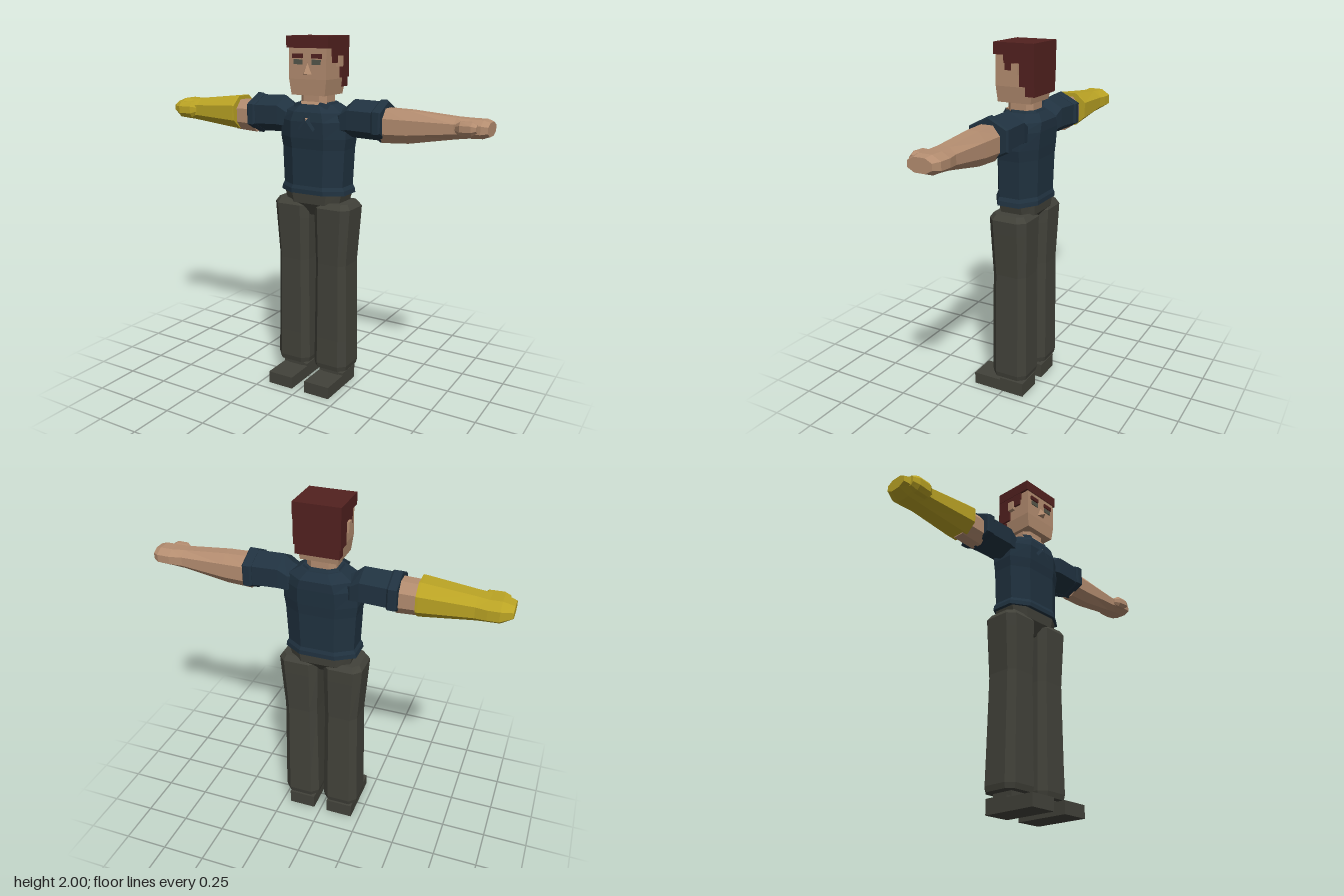
import * as THREE from 'three';
import { ConvexGeometry } from 'three/addons/geometries/ConvexGeometry.js';

const mat = (name, color) => new THREE.MeshStandardMaterial({ name, color, flatShading: true });

// Unit cross-sections, counter-clockwise
const octagon = c => [[1, -c], [1, c], [c, 1], [-c, 1], [-1, c], [-1, -c], [-c, -1], [c, -1]];
const hexagon = [[1, 0], [0.5, 1], [-0.5, 1], [-1, 0], [-0.5, -1], [0.5, -1]];

// Skin over sections [position, uMin, uMax, vMin, vMax];
// axis 'y' uses u = z, v = x and axis 'x' uses u = y, v = z
function loft(sections, shape, axis) {
  const rings = sections.map(([p, u0, u1, v0, v1]) => shape.map(([a, b]) => {
    const u = (u0 + u1) / 2 + a * (u1 - u0) / 2, v = (v0 + v1) / 2 + b * (v1 - v0) / 2;
    return axis === 'y' ? [v, p, u] : [p, u, v];
  }));
  const flip = sections[0][0] > sections[sections.length - 1][0];
  const n = shape.length, out = [];
  const tri = (a, b, c) => out.push(...a, ...(flip ? c : b), ...(flip ? b : c));
  for (let i = 0; i < rings.length - 1; i++) {
    for (let j = 0; j < n; j++) {
      const k = (j + 1) % n;
      tri(rings[i][j], rings[i][k], rings[i + 1][k]);
      tri(rings[i][j], rings[i + 1][k], rings[i + 1][j]);
    }
  }
  const first = rings[0], last = rings[rings.length - 1];
  for (let j = 1; j < n - 1; j++) {
    tri(first[0], first[j + 1], first[j]);
    tri(last[0], last[j], last[j + 1]);
  }
  const g = new THREE.BufferGeometry();
  g.setAttribute('position', new THREE.Float32BufferAttribute(out, 3));
  g.computeVertexNormals();
  return g;
}

// Box from its limits
function box(x0, x1, y0, y1, z0, z1) {
  return new THREE.BoxGeometry(Math.abs(x1 - x0), y1 - y0, z1 - z0)
    .translate((x0 + x1) / 2, (y0 + y1) / 2, (z0 + z1) / 2);
}

const hull = pts => new ConvexGeometry(pts.map(p => new THREE.Vector3(...p)));

export function createModel() {
  const model = new THREE.Group();
  model.name = 'standingMan';
  const skin = mat('skin', 0xb48d70), hair = mat('hair', 0x52211f), shirt = mat('shirt', 0x203240);
  const trousers = mat('trousers', 0x42423a), glove = mat('glove', 0xbaa324), eye = mat('eye', 0x55564a);
  const add = (name, geometry, material) => {
    const mesh = new THREE.Mesh(geometry, material);
    mesh.name = name;
    model.add(mesh);
  };
  // Section symmetric in x: [y, half width, back, front]
  const sym = rows => rows.map(([y, w, b, f]) => [y, b, f, -w, w]);

  // Head, neck and nose
  add('head', loft(sym([
    [1.69, 0.103, -0.125, 0.07], [1.775, 0.115, -0.14, 0.075], [1.95, 0.115, -0.145, 0.075],
  ]), octagon(1), 'y'), skin);
  add('neck', loft(sym([[1.56, 0.08, -0.115, 0.035], [1.7, 0.08, -0.115, 0.035]]), octagon(0.6), 'y'), skin);
  add('nose', hull([[-0.03, 1.8, 0.07], [0.03, 1.8, 0.07], [0, 1.87, 0.07], [0, 1.805, 0.112]]), skin);

  // Hair
  add('hairCap', box(-0.128, 0.128, 1.937, 2, -0.155, 0.08), hair);
  add('hairBack', box(-0.118, 0.118, 1.73, 1.95, -0.155, -0.1), hair);

  // Torso, pelvis
  add('shirtBody', loft(sym([
    [1.15, 0.202, -0.172, 0.085], [1.175, 0.198, -0.172, 0.085], [1.195, 0.187, -0.165, 0.078],
    [1.4, 0.196, -0.17, 0.078], [1.46, 0.205, -0.175, 0.085], [1.55, 0.2, -0.182, 0.088],
    [1.6, 0.172, -0.182, 0.078], [1.64, 0.11, -0.15, 0.05],
  ]), octagon(0.5), 'y'), shirt);
  add('collarBand', loft(sym([[1.61, 0.115, -0.15, 0.03], [1.65, 0.095, -0.13, 0.025]]), octagon(0.55), 'y'), shirt);
  add('openNeck', hull([
    [-0.065, 1.655, 0.04], [0.065, 1.655, 0.04], [0, 1.555, 0.092], [0, 1.62, 0.02],
  ]), skin);
  add('pelvis', loft(sym([
    [1.02, 0.035, -0.09, 0.02], [1.09, 0.165, -0.15, 0.06], [1.16, 0.183, -0.155, 0.065],
  ]), octagon(0.6), 'y'), trousers);

  for (const s of [1, -1]) {
    const side = s > 0 ? 'left' : 'right';
    const bx = (a, b, ...rest) => box(s * a, s * b, ...rest);
    const mx = rows => rows.map(([x, ...r]) => [s * x, ...r]);

    // Face details and side hair
    add(side + 'Eye', bx(0.03, 0.082, 1.852, 1.878, 0.074, 0.08), eye);
    add(side + 'Eyebrow', bx(0.028, 0.09, 1.884, 1.908, 0.074, 0.083), hair);
    add(side + 'Ear', bx(0.11, 0.138, 1.84, 1.897, -0.068, -0.03), skin);
    add(side + 'HairSide', bx(0.11, 0.126, 1.895, 1.945, -0.155, 0.022), hair);
    add(side + 'Sideburn', bx(0.11, 0.126, 1.86, 1.9, -0.035, 0.015), hair);
    add(side + 'HairBehindEar', bx(0.11, 0.126, 1.78, 1.9, -0.155, -0.07), hair);

    // Collar flap
    add(side + 'CollarFlap', hull([
      [s * 0.06, 1.655, 0.045], [s * 0.115, 1.64, 0.03], [s * 0.045, 1.5, 0.094],
      [0, 1.555, 0.096], [s * 0.07, 1.6, 0.04],
    ]), shirt);

    // Sleeve and cuff
    add(side + 'Sleeve', loft(mx([
      [0.13, 1.49, 1.61, -0.115, 0.01], [0.17, 1.47, 1.63, -0.145, 0.035],
      [0.22, 1.465, 1.672, -0.152, 0.042], [0.38, 1.46, 1.668, -0.155, 0.045],
    ]), hexagon, 'x'), shirt);
    add(side + 'Cuff', loft(mx([
      [0.365, 1.46, 1.67, -0.158, 0.048], [0.375, 1.45, 1.678, -0.168, 0.057],
      [0.41, 1.45, 1.678, -0.168, 0.057], [0.418, 1.46, 1.67, -0.158, 0.048],
    ]), hexagon, 'x'), shirt);

    // Arms: the left is bare, the right wears a long glove
    const round = octagon(0.45);
    if (s > 0) {
      add('leftForearmAndHand', loft([
        [0.4, 1.455, 1.637, -0.125, 0.022], [0.55, 1.463, 1.633, -0.125, 0.02],
        [0.8, 1.505, 1.613, -0.122, 0.01], [0.87, 1.515, 1.61, -0.138, 0.02],
        [0.94, 1.518, 1.61, -0.138, 0.024], [0.975, 1.53, 1.6, -0.115, 0.015],
      ], round, 'x'), skin);
      add('leftThumb', loft([
        [0.81, 1.545, 1.585, -0.01, 0.02], [0.84, 1.532, 1.603, -0.01, 0.045],
        [0.9, 1.535, 1.603, -0.01, 0.05], [0.925, 1.55, 1.59, -0.005, 0.042],
      ], round, 'x'), skin);
    } else {
      add('rightForearm', loft([
        [-0.4, 1.455, 1.637, -0.125, 0.022], [-0.54, 1.463, 1.633, -0.125, 0.02],
      ], round, 'x'), skin);
      add('rightGlove', loft([
        [-0.512, 1.467, 1.655, -0.162, 0.05], [-0.525, 1.467, 1.655, -0.162, 0.05],
        [-0.8, 1.494, 1.625, -0.14, 0.03], [-0.86, 1.5, 1.62, -0.148, 0.033],
        [-0.92, 1.503, 1.622, -0.15, 0.035], [-0.98, 1.53, 1.6, -0.118, 0.015],
      ], round, 'x'), glove);
      add('rightGloveThumb', loft([
        [-0.8, 1.54, 1.585, -0.01, 0.025], [-0.835, 1.515, 1.605, -0.01, 0.055],
        [-0.91, 1.515, 1.605, -0.01, 0.062], [-0.945, 1.535, 1.595, -0.005, 0.045],
      ], round, 'x'), glove);
    }

    // Trouser leg: [y, inner, outer, back, front]
    add(side + 'TrouserLeg', loft([
      [0.11, 0.022, 0.222, -0.145, 0.06], [0.14, 0.016, 0.228, -0.152, 0.066],
      [0.3, 0.018, 0.225, -0.15, 0.063], [0.75, 0.024, 0.217, -0.146, 0.06],
      [1.0, 0.018, 0.235, -0.154, 0.068], [1.075, 0.018, 0.24, -0.156, 0.07],
      [1.105, 0.06, 0.22, -0.135, 0.05],
    ].map(([y, a, b, z0, z1]) => [y, z0, z1, Math.min(s * a, s * b), Math.max(s * a, s * b)]),
    octagon(0.65), 'y'), trousers);

    // Ankle and shoe
    add(side + 'Ankle', bx(0.07, 0.17, 0.07, 0.12, -0.11, 0.02), trousers);
    add(side + 'ShoeHeel', bx(0.042, 0.2, 0, 0.084, -0.132, 0.015), trousers);
    add(side + 'ShoeToe', bx(0.042, 0.2, 0, 0.07, 0.01, 0.188), trousers);
  }
  return model;
}
